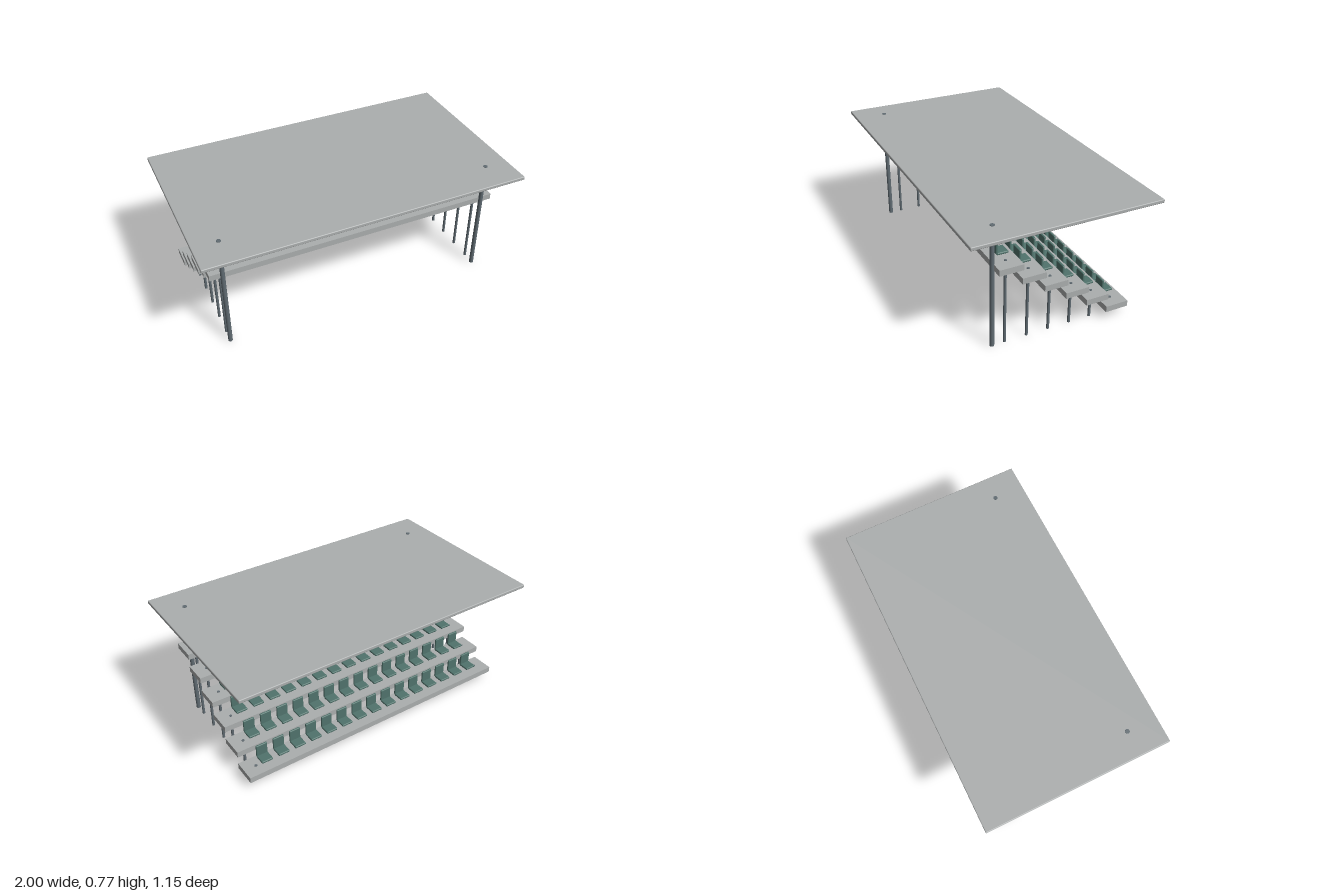
import * as THREE from 'three';
import { RoundedBoxGeometry } from 'three/addons/geometries/RoundedBoxGeometry.js';

const ROWS = 6, SEATS = 15;
const ROW_DEPTH = 0.1384, ROW_RISE = 0.0892, SEAT_PITCH = 0.112;
const POST_X = 0.846;

function material(name, color) {
  const m = new THREE.MeshStandardMaterial({ color });
  m.name = name;
  return m;
}

function addMesh(parent, name, geometry, mat, x, y, z) {
  const mesh = new THREE.Mesh(geometry, mat);
  mesh.name = name;
  mesh.position.set(x, y, z);
  parent.add(mesh);
  return mesh;
}

export function createModel() {
  const concrete = material('concrete grey', 0xabaeae);
  const steel = material('steel grey', 0x606b72);
  const plastic = material('seat green', 0x50736c);

  const model = new THREE.Group();
  model.name = 'grandstand';

  // Flat canopy with softened edges
  addMesh(model, 'roof', new RoundedBoxGeometry(2, 0.022, 1.15, 2, 0.005), concrete, 0, 0.756, 0);

  // A pair of round posts standing on the ground
  const addPosts = (parent, name, radius, height, z) => {
    const geometry = new THREE.CylinderGeometry(radius, radius, height, 20);
    for (const side of [-1, 1]) addMesh(parent, name, geometry, steel, side * POST_X, height / 2, z);
  };
  addPosts(model, 'roofPost', 0.0135, 0.77, 0.385);

  // Shared tier and seat shapes
  const tierGeometry = new THREE.BoxGeometry(1.845, 0.037, 0.145);
  const cushionGeometry = new RoundedBoxGeometry(0.072, 0.014, 0.068, 2, 0.005);
  const backGeometry = new RoundedBoxGeometry(0.072, 0.08, 0.013, 2, 0.005);

  // Tiers rise towards the front, seats face the back
  for (let row = 0; row < ROWS; row++) {
    const tier = new THREE.Group();
    tier.name = 'tier' + (row + 1);
    model.add(tier);
    const y = 0.0705 + row * ROW_RISE;
    const z = -0.3845 + row * ROW_DEPTH;
    addMesh(tier, 'tierSlab', tierGeometry, concrete, 0, y, z);
    addPosts(tier, 'tierPost', 0.0085, y + 0.0215, z);

    for (let i = 0; i < SEATS; i++) {
      const seat = new THREE.Group();
      seat.name = 'seat';
      seat.position.set((i - (SEATS - 1) / 2) * SEAT_PITCH, y, z);
      tier.add(seat);
      addMesh(seat, 'seatCushion', cushionGeometry, plastic, 0, 0.0475, 0.001);
      addMesh(seat, 'seatBack', backGeometry, plastic, 0, 0.0865, 0.035);
    }
  }
  return model;
}
